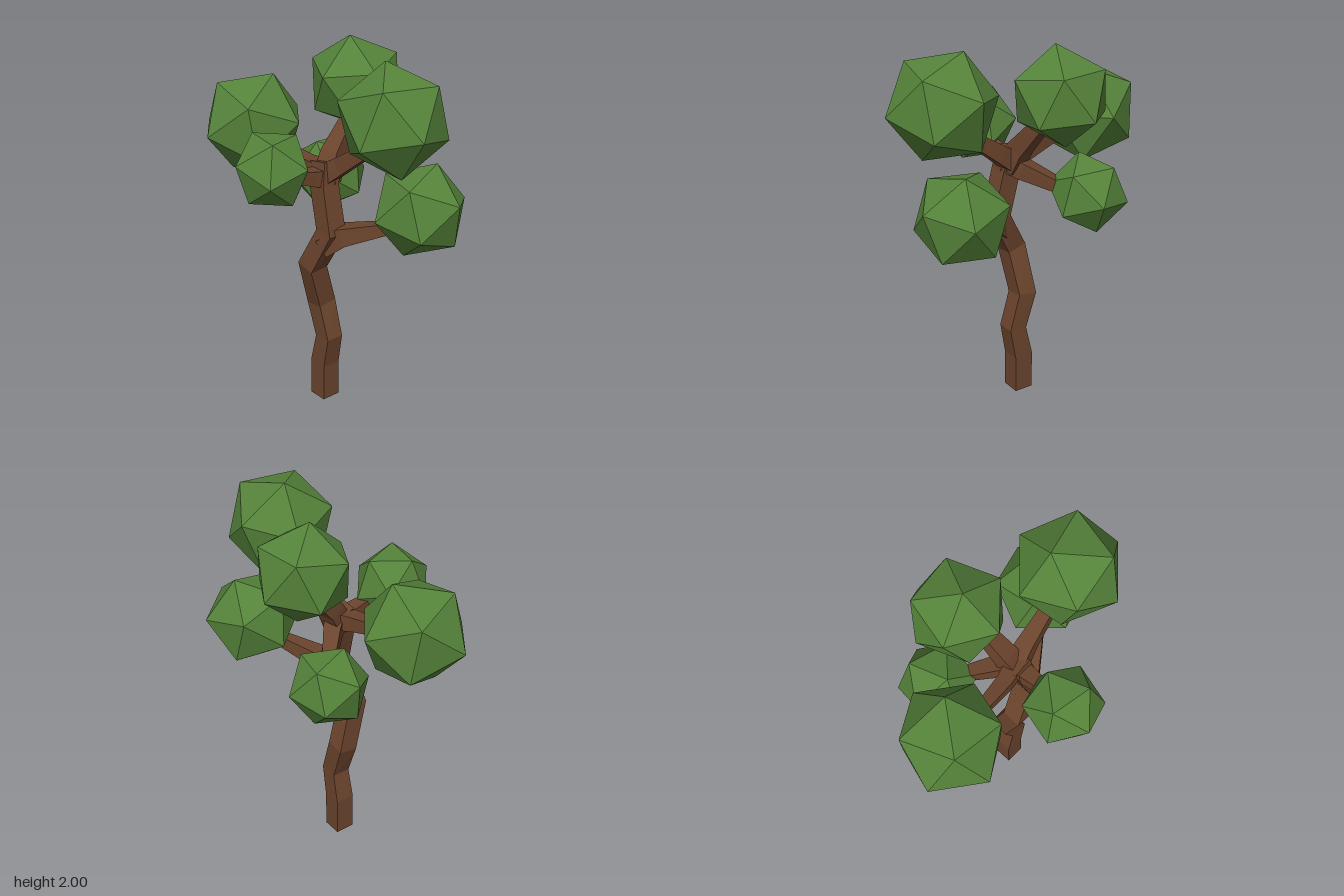
import * as THREE from 'three';

const V = (p) => new THREE.Vector3(...p);
const bark = new THREE.MeshStandardMaterial({ color: 0x6b442d, flatShading: true });
const leaf = new THREE.MeshStandardMaterial({ color: 0x55833a, flatShading: true });

// Square-section limb through points [x, y, z, width]; ref sets the roll of the section
function limb(name, path, ref) {
  const pts = path.map(V);
  const rings = pts.map((p, i) => {
    const dir = (a, b) => pts[b].clone().sub(pts[a]).normalize();
    const t = new THREE.Vector3();
    if (i > 0) t.add(dir(i - 1, i));
    if (i < pts.length - 1) t.add(dir(i, i + 1));
    t.normalize();
    const u = t.clone().cross(ref).normalize();
    const w = u.clone().cross(t);
    const h = path[i][3] / 2;
    return [[1, 1], [1, -1], [-1, -1], [-1, 1]].map(([a, b]) =>
      p.clone().addScaledVector(u, a * h).addScaledVector(w, b * h));
  });
  const tris = [];
  const quad = (a, b, c, d) => tris.push(a, b, c, a, c, d);
  for (let i = 0; i < rings.length - 1; i++) {
    const lo = rings[i], hi = rings[i + 1];
    for (let k = 0; k < 4; k++) {
      const n = (k + 1) % 4;
      quad(lo[k], lo[n], hi[n], hi[k]);
    }
  }
  const [a, b, c, d] = rings[0];
  quad(d, c, b, a);
  quad(...rings[rings.length - 1]);
  const geo = new THREE.BufferGeometry().setFromPoints(tris);
  geo.computeVertexNormals();
  const mesh = new THREE.Mesh(geo, bark);
  mesh.name = name;
  return mesh;
}

// Icosahedron turned so that two neighbouring corners point along a and b
function crown(name, center, radius, a, b) {
  const va = V(a).normalize(), vb = V(b).normalize();
  const z = va.clone().add(vb).normalize();
  const y = va.clone().sub(vb).normalize();
  const x = y.clone().cross(z);
  const mesh = new THREE.Mesh(new THREE.IcosahedronGeometry(radius, 0), leaf);
  mesh.quaternion.setFromRotationMatrix(new THREE.Matrix4().makeBasis(x, y, z));
  mesh.position.set(...center);
  mesh.name = name;
  return mesh;
}

export function createModel() {
  const tree = new THREE.Group();
  tree.name = 'tree';
  const zAxis = new THREE.Vector3(0, 0, 1), yAxis = new THREE.Vector3(0, 1, 0);

  // Crooked trunk
  tree.add(limb('trunk', [
    [0.02, 0, 0.003, 0.106], [0.02, 0.21, 0.003, 0.106], [0.02, 0.38, 0.037, 0.1],
    [0.018, 0.57, -0.024, 0.106], [-0.058, 0.82, -0.006, 0.108], [-0.03, 1.04, 0.11, 0.11],
    [-0.025, 1.28, 0.05, 0.105], [0, 1.4, 0.03, 0.11],
  ], zAxis));

  // Tapering branches, each ending inside its crown
  const branches = {
    frontUpperBranch: [[0, 1.33, 0.03, 0.11], [0.02, 1.41, 0.14, 0.09], [0.04, 1.57, 0.36, 0.06]],
    topBranch: [[0, 1.31, 0.04, 0.11], [0.06, 1.42, 0.02, 0.1], [0.22, 1.6, -0.01, 0.07]],
    rightBranch: [[0, 1.32, 0.04, 0.1], [-0.1, 1.34, 0.04, 0.08], [-0.24, 1.38, 0.04, 0.055]],
    backBranch: [[0, 1.34, 0.04, 0.1], [-0.03, 1.36, -0.08, 0.08], [-0.06, 1.41, -0.32, 0.055]],
    leftLowerBranch: [[-0.01, 1.34, 0.05, 0.1], [0.06, 1.3, 0, 0.09], [0.2, 1.21, -0.15, 0.06]],
    frontLowerBranch: [[-0.045, 0.95, 0.07, 0.1], [0.01, 1.03, 0.16, 0.1], [0.15, 1.11, 0.38, 0.055]],
  };
  for (const [name, path] of Object.entries(branches)) tree.add(limb(name, path, yAxis));

  // Faceted leaf crowns
  tree.add(
    crown('frontUpperCrown', [0.055, 1.725, 0.465], 0.287, [-0.035, -0.265, 0.105], [-0.067, -0.025, 0.278]),
    crown('topCrown', [0.281, 1.741, -0.066], 0.258, [0.042, -0.254, -0.003], [0.245, -0.074, -0.029]),
    crown('rightCrown', [-0.336, 1.44, 0.022], 0.207, [0.191, -0.045, 0.04], [0.066, -0.174, -0.1]),
    crown('backCrown', [-0.07, 1.489, -0.483], 0.284, [-0.1, -0.04, -0.262], [-0.09, -0.26, -0.068]),
    crown('leftLowerCrown', [0.27, 1.185, -0.255], 0.211, [0.07, -0.2, 0], [0.186, 0.01, 0.05]),
    crown('frontLowerCrown', [0.236, 1.215, 0.484], 0.253, [0.081, 0.24, 0.024], [0.24, 0.023, 0.073]),
  );
  return tree;
}
